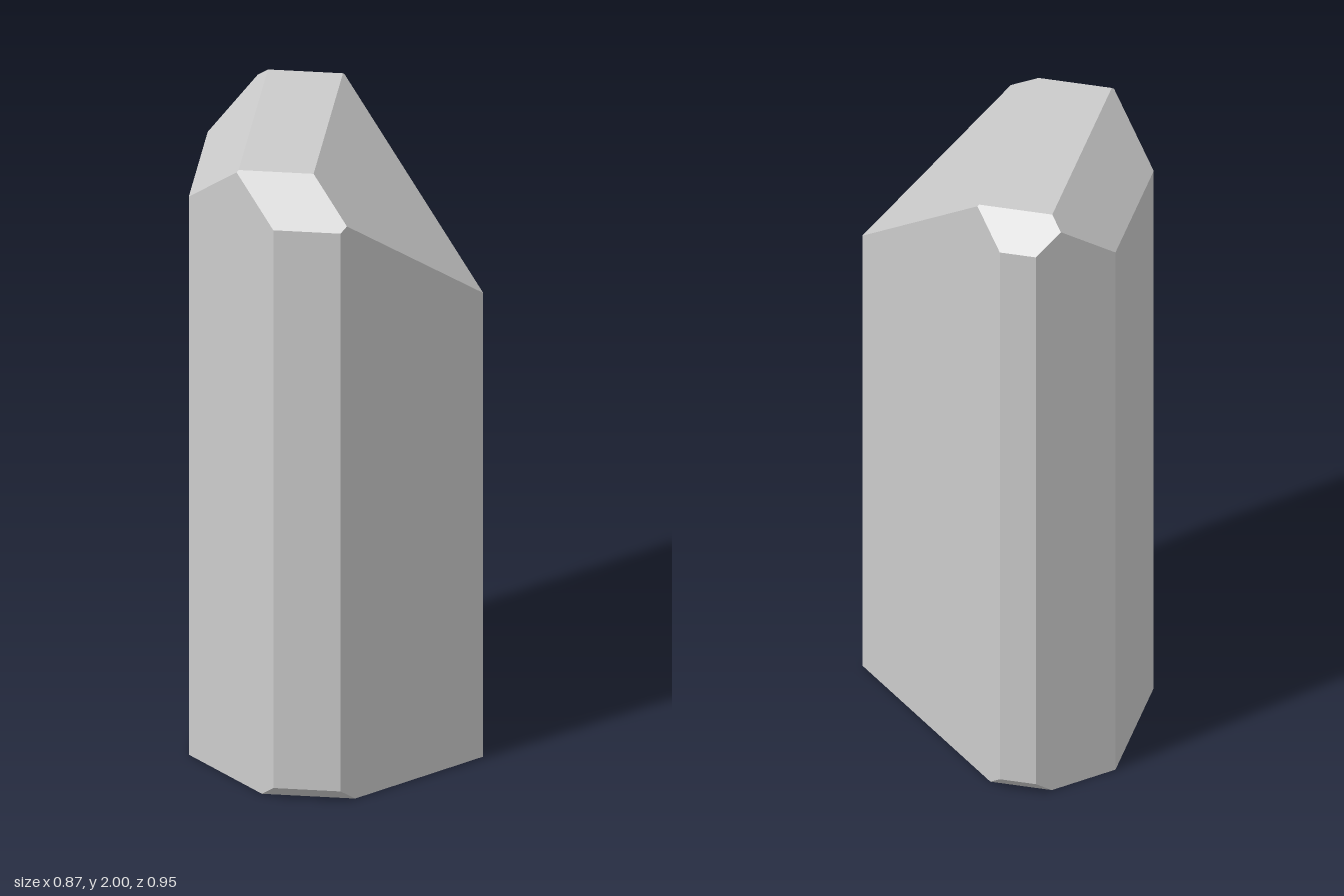
import * as THREE from 'three';
import { ConvexGeometry } from 'three/addons/geometries/ConvexGeometry.js';

// Facet planes of the crystal: nx*x + ny*y + nz*z <= d
const FACETS = [
  // flat sides, top and base
  [-1, 0, 0, 0.437], [0, 0, 1, 0.474], [0, 0, -1, 0.474], [0, 1, 0, 2], [0, -1, 0, 0],
  // upright diagonal sides
  [1, 0, 1, 0.528], [1, 0, -1, 0.343], [-1, 0, 1, 0.622], [-1, 0, -1, 0.716],
  // slopes around the top
  [1, 1, 0, 1.957], [-1, 1, 0, 2.268], [0, 1, 1, 2.343], [0, 1, -1, 2.378],
  // small bevels at the base
  [0, -1, 1, 0.435], [0, -1, -1, 0.435],
];

// Corners of the solid: points where three planes meet inside all the others
function solidCorners(facets) {
  const corners = [];
  const m = new THREE.Matrix3();
  for (let i = 0; i < facets.length; i++)
    for (let j = i + 1; j < facets.length; j++)
      for (let k = j + 1; k < facets.length; k++) {
        const [a, b, c] = [facets[i], facets[j], facets[k]];
        m.set(a[0], a[1], a[2], b[0], b[1], b[2], c[0], c[1], c[2]);
        if (Math.abs(m.determinant()) < 1e-6) continue;
        const p = new THREE.Vector3(a[3], b[3], c[3]).applyMatrix3(m.invert());
        const inside = facets.every(f => f[0] * p.x + f[1] * p.y + f[2] * p.z <= f[3] + 1e-6);
        if (inside && !corners.some(q => q.distanceTo(p) < 1e-4)) corners.push(p);
      }
  return corners;
}

export function createModel() {
  const group = new THREE.Group();
  group.name = 'crystal';

  // Single faceted shard
  const shard = new THREE.Mesh(
    new ConvexGeometry(solidCorners(FACETS)),
    new THREE.MeshStandardMaterial({ color: 0xcccccc, flatShading: true })
  );
  shard.name = 'crystalShard';
  group.add(shard);
  return group;
}
